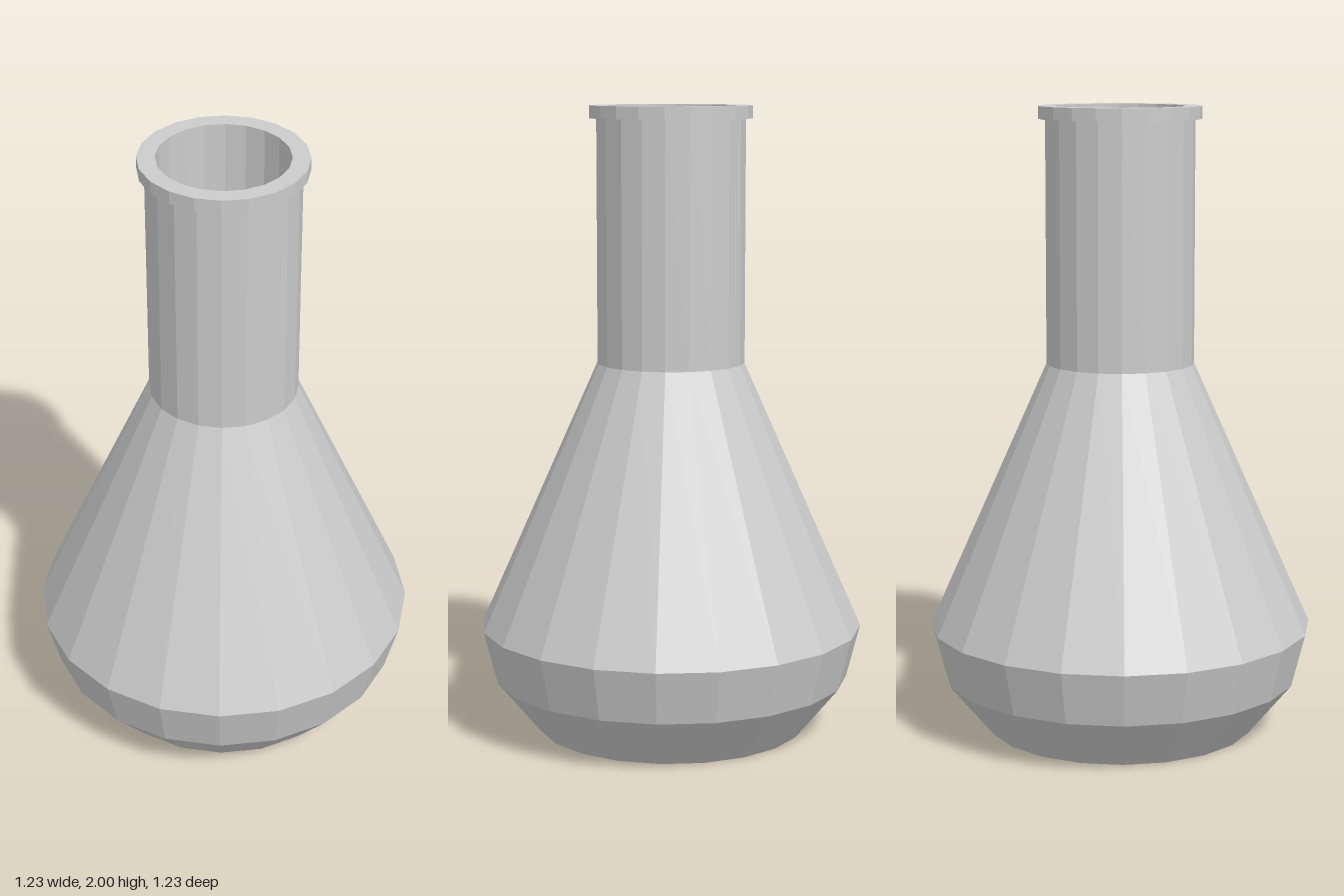
import * as THREE from 'three';

const SIDES = 20;
const material = new THREE.MeshStandardMaterial({ color: 0xcccccc, flatShading: true });

// Revolve a [radius, height] profile; upward runs face outward, downward runs face inward
function turned(name, profile) {
  const points = profile.map(([r, y]) => new THREE.Vector2(r, y));
  const mesh = new THREE.Mesh(new THREE.LatheGeometry(points, SIDES), material);
  mesh.name = name;
  return mesh;
}

export function createModel() {
  const flask = new THREE.Group();
  flask.name = 'flask';

  flask.add(
    // Flat foot, rounded belly and sloping shoulder
    turned('body', [[0, 0], [0.43, 0], [0.57, 0.17], [0.613, 0.34], [0.235, 1.19]]),
    // Straight neck
    turned('neck', [[0.235, 1.19], [0.235, 1.96]]),
    // Lip around the mouth
    turned('rim', [[0.235, 1.96], [0.257, 1.96], [0.257, 2], [0.202, 2]]),
    // Hollow inside, from the mouth down to a flat floor
    turned('innerWall', [[0.202, 2], [0.202, 1.19], [0.575, 0.34], [0.54, 0.19], [0.41, 0.04], [0, 0.04]])
  );

  return flask;
}
